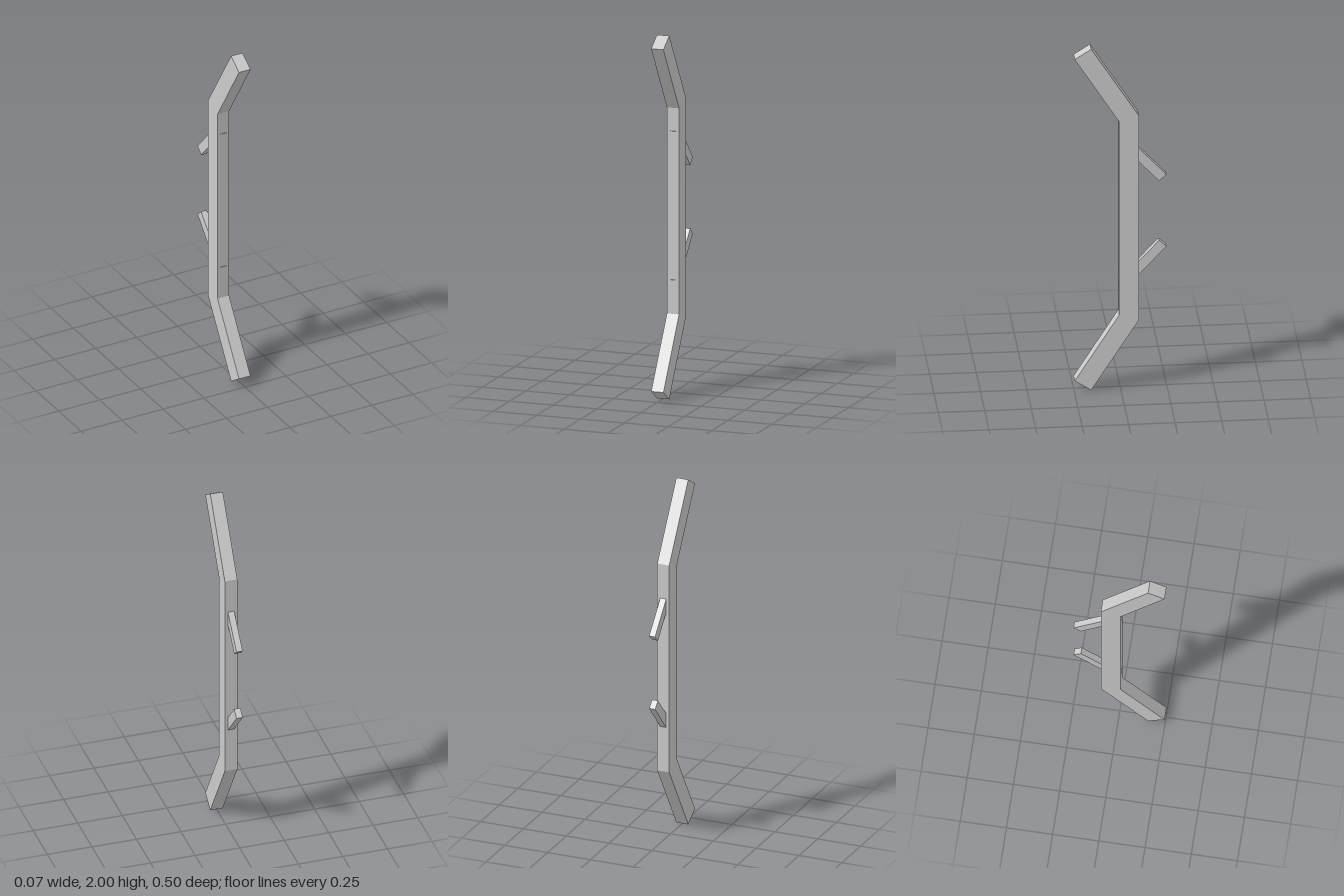
import * as THREE from 'three';

const material = new THREE.MeshStandardMaterial({ color: 0xcccccc, flatShading: true });

// Extrudes a side profile of [z, y] points across x, centred on x = 0
function slab(name, profile, width) {
  const shape = new THREE.Shape(profile.map(([z, y]) => new THREE.Vector2(z, y)));
  const geometry = new THREE.ExtrudeGeometry(shape, { depth: width, bevelEnabled: false });
  geometry.translate(0, 0, -width / 2);
  geometry.rotateY(-Math.PI / 2);
  const mesh = new THREE.Mesh(geometry, material);
  mesh.name = name;
  return mesh;
}

export function createModel() {
  const group = new THREE.Group();
  group.name = 'bentPost';

  // Post: straight middle with both ends angled forward, mirrored about mid height
  const upper = [[-0.098, 1.6], [0.158, 2], [0.247, 1.943], [0.008, 1.567]];
  const lower = upper.map(([z, y]) => [z, 2 - y]).reverse();
  group.add(slab('post', [...upper, ...lower], 0.07));

  // Pegs: slanted bars set through the post, converging towards the back
  const peg = [[-0.248, 1.24], [-0.208, 1.204], [0.009, 1.439], [-0.031, 1.475]];
  group.add(slab('upperPeg', peg, 0.035));
  group.add(slab('lowerPeg', peg.map(([z, y]) => [z, 2.06 - y]).reverse(), 0.035));

  return group;
}
